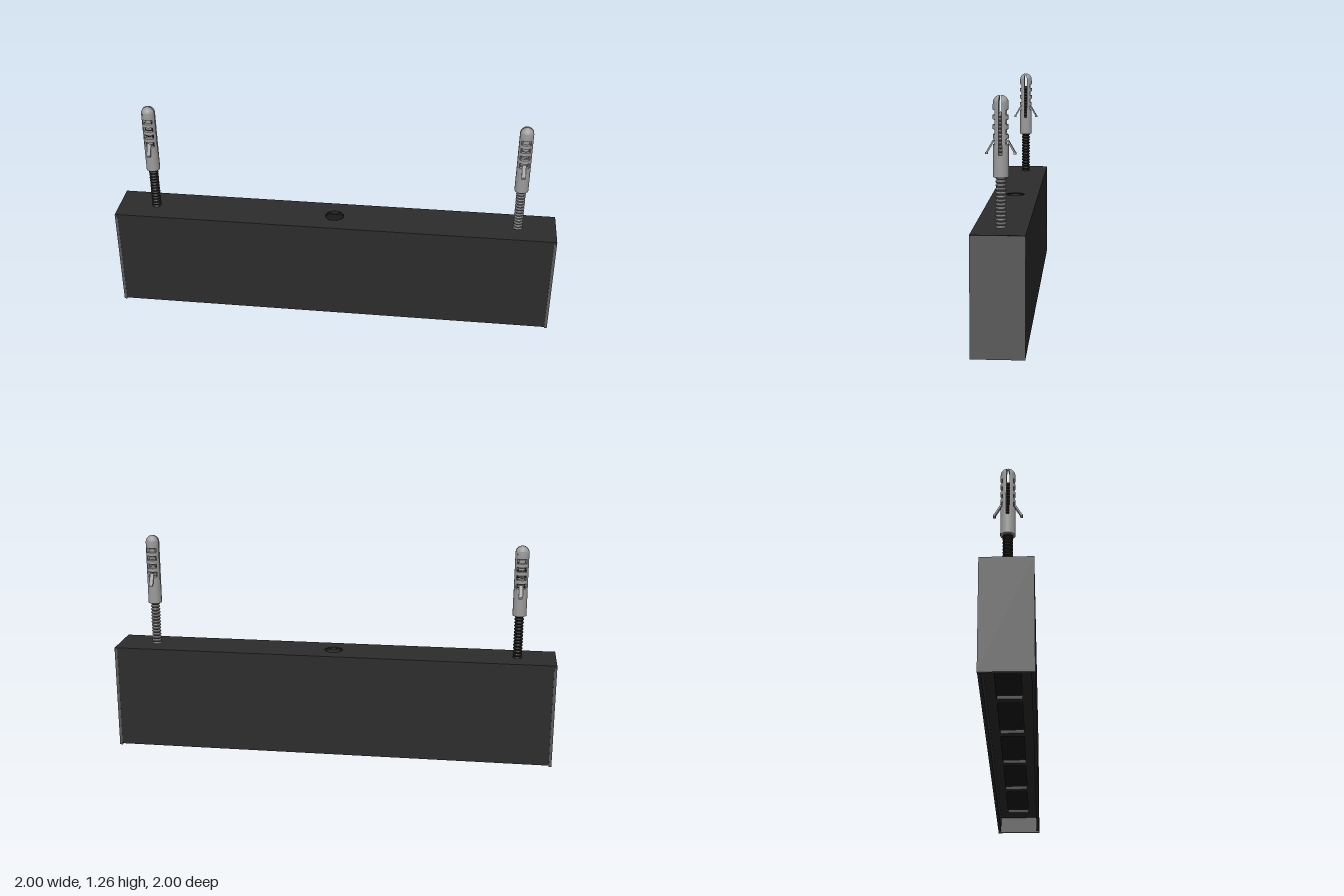
import * as THREE from 'three';

const L = 2.56, W = 0.27, TOP = 0.61, BASE = 0.008, WALL = 0.018, CAP = 0.016;

const flat = (color, name, double) => {
  const m = new THREE.MeshStandardMaterial({ color, side: double ? THREE.DoubleSide : THREE.FrontSide });
  m.name = name;
  return m;
};

function add(parent, name, geometry, material, x = 0, y = 0, z = 0) {
  const mesh = new THREE.Mesh(geometry, material);
  mesh.name = name;
  mesh.position.set(x, y, z);
  parent.add(mesh);
  return mesh;
}

function rectangle(w, h, x = 0, y = 0, Type = THREE.Shape) {
  return new Type([
    [-w / 2, -h / 2], [w / 2, -h / 2], [w / 2, h / 2], [-w / 2, h / 2],
  ].map(([a, b]) => new THREE.Vector2(a + x, b + y)));
}

// Horizontal plate whose outline lies in x and z, rising from y = 0
function plate(shape, thickness) {
  return new THREE.ExtrudeGeometry(shape, { depth: thickness, bevelEnabled: false, curveSegments: 24 })
    .rotateX(-Math.PI / 2);
}

function faceted(geometry) {
  const g = geometry.toNonIndexed();
  g.computeVertexNormals();
  return g;
}

const lathe = (points, segments, start, length) =>
  new THREE.LatheGeometry(points.map(([r, y]) => new THREE.Vector2(r, y)), segments, start, length);

// Threaded rod as a zigzag profile
function screwGeometry(from, to) {
  const points = [[0.02, from]], pitch = 0.019;
  for (let y = from; y < to - pitch; y += pitch) {
    points.push([0.027, y + pitch * 0.4], [0.027, y + pitch * 0.6], [0.02, y + pitch]);
  }
  points.push([0, to]);
  return faceted(lathe(points, 16, 0, Math.PI * 2));
}

// Expansion plug: solid sleeve below, two toothed halves above a slit
function wallPlug(material) {
  const plug = new THREE.Group();
  plug.name = 'wallPlug';
  const R = 0.039, slitY = 0.97, domeY = 1.222;
  add(plug, 'sleeve', lathe([[R, 0.86], [R, slitY]], 24, 0, Math.PI * 2), material);
  add(plug, 'sleeveEnd', new THREE.RingGeometry(0.02, R, 24).rotateX(Math.PI / 2), material, 0, 0.86, 0);

  const dome = [];
  for (let i = 0; i <= 6; i++) {
    const a = i / 6 * Math.PI / 2;
    dome.push([R * Math.cos(a), domeY + R * Math.sin(a)]);
  }
  const teeth = [[R, slitY], [R, 1.02]];
  for (let i = 0; i < 4; i++) {
    const y = 1.025 + i * 0.047;
    teeth.push([0.026, y], [0.026, y + 0.018], [R, y + 0.024], [R, y + 0.045]);
  }
  teeth.push(...dome.slice(1));

  const slitWall = new THREE.Shape();
  slitWall.moveTo(-0.038, slitY);
  slitWall.lineTo(0.038, slitY);
  slitWall.lineTo(0.038, domeY);
  slitWall.absarc(0, domeY, 0.038, 0, Math.PI, false);

  for (const turn of [0, Math.PI]) {
    const half = new THREE.Group();
    half.name = 'plugHalf';
    half.rotation.y = turn;
    add(half, 'teeth', faceted(lathe(teeth, 10, -0.75, 1.5)), material);
    for (const start of [-1.37, 0.75]) {
      add(half, 'flank', lathe([[R, slitY], ...dome], 5, start, 0.62), material);
    }
    add(half, 'slitWall', new THREE.ShapeGeometry(slitWall), material, 0, 0, 0.008);
    // Barb flaring outward and down
    const barb = add(half, 'barb', new THREE.BoxGeometry(0.022, 0.075, 0.009), material, 0, 1.008, 0.053);
    barb.rotation.x = -0.52;
    add(half, 'barbTip', new THREE.BoxGeometry(0.022, 0.009, 0.014), material, 0, 0.977, 0.07);
    plug.add(half);
  }
  return plug;
}

export function createModel() {
  const body = flat(0x2c2c2c, 'charcoal body');
  const inner = flat(0x191919, 'black interior');
  const cap = flat(0x5a5a5a, 'grey end cap');
  const plugGrey = flat(0x9c9c9c, 'light grey plug', true);
  const steel = flat(0x777777, 'steel screw', true);
  const blackSteel = flat(0x1c1c1c, 'black screw', true);

  const model = new THREE.Group();
  model.name = 'ceilingBar';
  const bar = new THREE.Group();
  bar.name = 'bar';
  bar.rotation.y = -Math.PI / 4;
  model.add(bar);

  // Housing: top with cable hole, two long walls, two end caps
  const lid = rectangle(L, W);
  const hole = new THREE.Path();
  hole.absarc(0, 0, 0.055, 0, Math.PI * 2, true);
  lid.holes.push(hole);
  add(bar, 'topPlate', plate(lid, WALL), body, 0, TOP - WALL, 0);
  const wallH = TOP - WALL - BASE;
  for (const s of [-1, 1]) {
    add(bar, 'sideWall', new THREE.BoxGeometry(L - 2 * CAP, wallH, WALL), body,
      0, BASE + wallH / 2, s * (W - WALL) / 2);
    add(bar, 'endCap', new THREE.BoxGeometry(CAP, TOP - 0.003, W), cap,
      s * (L - CAP + 0.001) / 2, (TOP - 0.003) / 2, 0);
  }

  // Cable hole lining and the bracket under it
  const rim = add(bar, 'holeRim', new THREE.TorusGeometry(0.053, 0.004, 8, 32), inner, 0, TOP - 0.003, 0);
  rim.rotation.x = Math.PI / 2;
  add(bar, 'innerTray', new THREE.BoxGeometry(L - 0.1, 0.01, W - 2 * WALL), inner, 0, 0.54, 0);
  add(bar, 'innerBracket', new THREE.BoxGeometry(0.2, 0.012, 0.06), body, 0, 0.551, 0);

  // Recessed underside with five long light openings
  const inside = W - 2 * WALL;
  const panel = rectangle(L - 2 * CAP, inside);
  for (let i = -2; i <= 2; i++) {
    panel.holes.push(rectangle(0.42, 0.13, i * 0.47, 0, THREE.Path));
  }
  add(bar, 'recessPanel', plate(panel, 0.02), body, 0, 0.1, 0);
  add(bar, 'recessBacking', new THREE.BoxGeometry(L - 2 * CAP, 0.01, inside), inner, 0, 0.15, 0);

  // Mounting screws and wall plugs
  for (const s of [-1, 1]) {
    const mount = new THREE.Group();
    mount.name = 'mount';
    mount.position.x = s * 0.75 * Math.SQRT2;
    add(mount, 'screw', screwGeometry(0.58, 1.18), s > 0 ? steel : blackSteel);
    mount.add(wallPlug(plugGrey));
    bar.add(mount);
  }
  return model;
}
